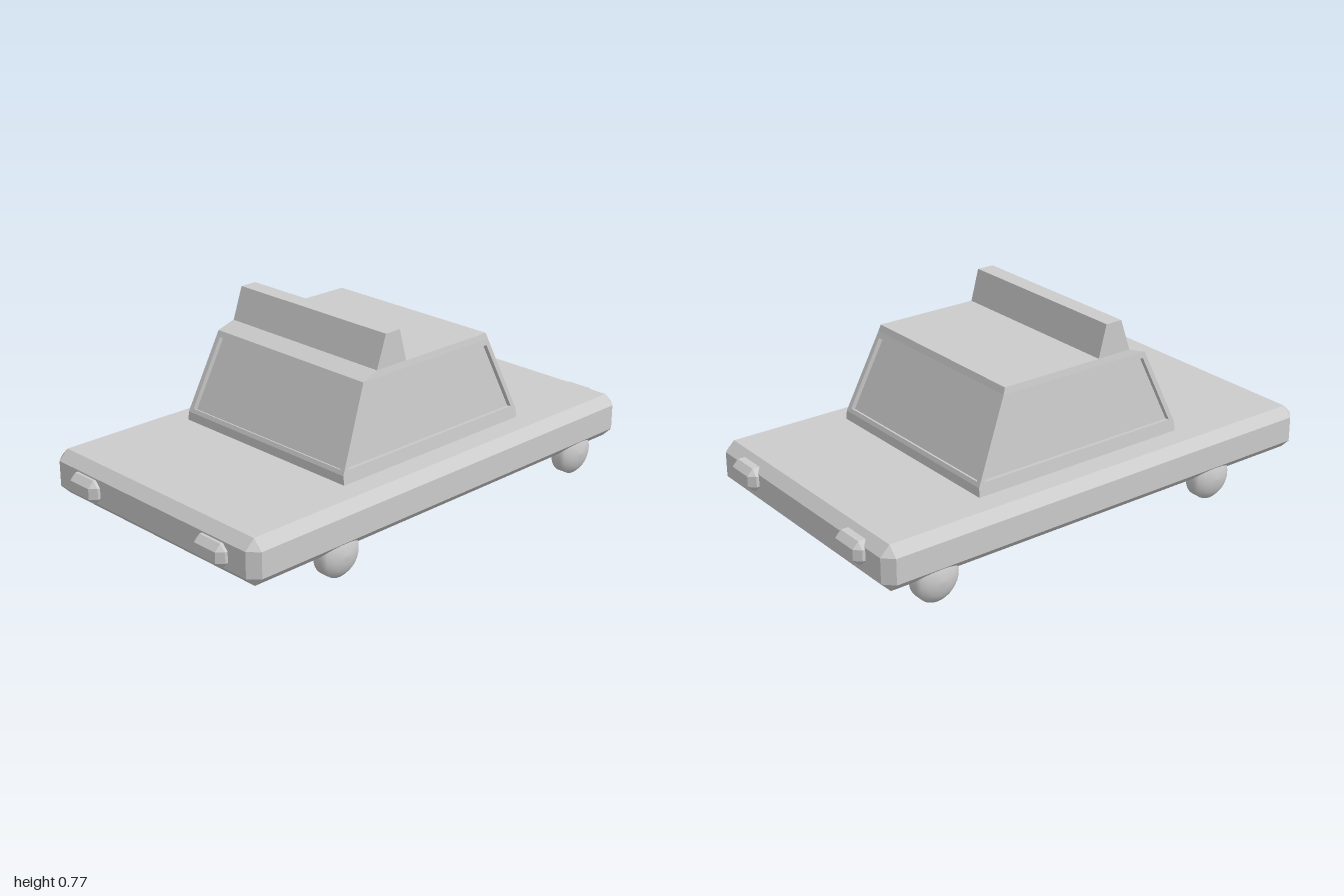
import * as THREE from 'three';
import { ConvexGeometry } from 'three/addons/geometries/ConvexGeometry.js';

const flat = new THREE.MeshStandardMaterial({ color: 0xcccccc, flatShading: true });
const smooth = new THREE.MeshStandardMaterial({ color: 0xcccccc });

function add(parent, name, geometry, material = flat) {
  const mesh = new THREE.Mesh(geometry, material);
  mesh.name = name;
  parent.add(mesh);
  return mesh;
}

// Box with every edge cut at 45 degrees
function chamferBox(w, h, d, c) {
  const points = [];
  for (const x of [-w / 2, w / 2]) for (const y of [-h / 2, h / 2]) for (const z of [-d / 2, d / 2]) {
    const p = new THREE.Vector3(x, y, z);
    for (const axis of ['x', 'y', 'z']) {
      const q = p.clone().addScaledVector(new THREE.Vector3(Math.sign(x), Math.sign(y), Math.sign(z)), -c);
      q[axis] = p[axis];
      points.push(q);
    }
  }
  return new ConvexGeometry(points);
}

// Geometry from a list of four-cornered faces
function quadGeometry(quads) {
  const points = quads.flatMap(([a, b, c, d]) => [a, b, c, a, c, d]);
  const geometry = new THREE.BufferGeometry().setFromPoints(points);
  geometry.computeVertexNormals();
  return geometry;
}

// Corners of a cabin section, anticlockwise from above
const ring = (y, x, front, back) => [
  new THREE.Vector3(-x, y, front), new THREE.Vector3(x, y, front),
  new THREE.Vector3(x, y, back), new THREE.Vector3(-x, y, back),
];

function createCabin() {
  const cabin = new THREE.Group();
  cabin.name = 'cabin';
  const base = ring(0.27, 0.428, 0.43, -0.49);
  const sill = ring(0.315, 0.423, 0.43, -0.488);
  const head = ring(0.62, 0.389, 0.3, -0.354);
  const roof = ring(0.645, 0.385, 0.23, -0.345);
  const shell = [roof];
  const panes = [];

  for (let i = 0; i < 4; i++) {
    const j = (i + 1) % 4;
    shell.push([base[i], base[j], sill[j], sill[i]], [head[i], head[j], roof[j], roof[i]]);

    // Framed wall with a recessed window
    const outer = [sill[i], sill[j], head[j], head[i]];
    const across = outer[1].clone().sub(outer[0]).normalize();
    const normal = across.clone().cross(outer[3].clone().sub(outer[0])).normalize();
    const at = (v, side) => {
      const left = outer[0].clone().lerp(outer[3], v);
      const right = outer[1].clone().lerp(outer[2], v);
      return side < 0 ? left.addScaledVector(across, 0.02) : right.addScaledVector(across, -0.02);
    };
    const opening = [at(0.05, -1), at(0.05, 1), at(0.93, 1), at(0.93, -1)];
    const pane = opening.map((p) => p.clone().addScaledVector(normal, -0.018));
    for (let k = 0; k < 4; k++) {
      const n = (k + 1) % 4;
      shell.push([outer[k], outer[n], opening[n], opening[k]]);
      shell.push([opening[k], opening[n], pane[n], pane[k]]);
    }
    panes.push(pane);
  }
  add(cabin, 'cabinShell', quadGeometry(shell));
  add(cabin, 'windows', quadGeometry(panes));

  // Tapered sign running across the roof
  const profile = new THREE.Shape([[0.23, 0.64], [0.185, 0.77], [0.115, 0.77], [0.08, 0.64]]
    .map(([z, y]) => new THREE.Vector2(z, y)));
  const sign = new THREE.ExtrudeGeometry(profile, { depth: 0.768, bevelEnabled: false });
  sign.translate(0, 0, -0.384).rotateY(-Math.PI / 2);
  add(cabin, 'roofSign', sign);
  return cabin;
}

// Wheel with a narrow tread and domed sides, turned about x
function wheelGeometry() {
  const half = [[0.09, 0.02], [0.076, 0.034], [0.057, 0.045], [0.03, 0.054], [0, 0.057]];
  const profile = [...half.map(([r, x]) => [r, -x]).reverse(), ...half]
    .map(([r, x]) => new THREE.Vector2(r, x));
  return new THREE.LatheGeometry(profile, 32).rotateZ(-Math.PI / 2);
}

export function createModel() {
  const model = new THREE.Group();
  model.name = 'car';

  add(model, 'body', chamferBox(1.11, 0.175, 1.93, 0.038)).position.y = 0.1925;
  model.add(createCabin());

  const wheel = wheelGeometry();
  const lamp = chamferBox(0.155, 0.09, 0.08, 0.024);
  for (const side of [-1, 1]) {
    const label = side > 0 ? 'Left' : 'Right';
    add(model, `front${label}Wheel`, wheel, smooth).position.set(side * 0.5, 0.09, 0.54);
    add(model, `rear${label}Wheel`, wheel, smooth).position.set(side * 0.5, 0.09, -0.74);
    add(model, `head${label}Lamp`, lamp).position.set(side * 0.35, 0.191, 0.96);
    add(model, `tail${label}Lamp`, lamp).position.set(side * 0.35, 0.215, -0.96);
  }
  return model;
}
